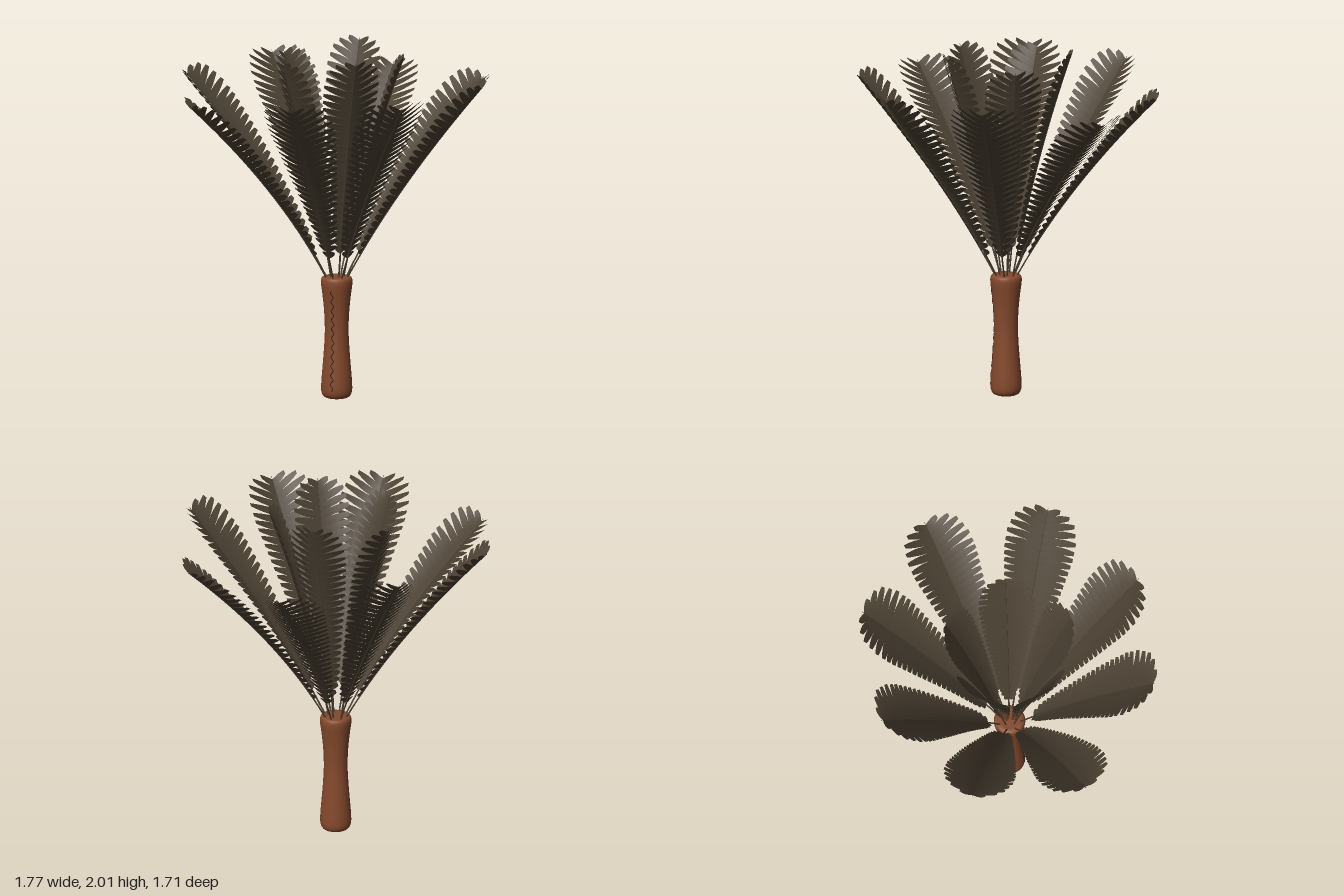
import * as THREE from 'three';

const brown = new THREE.MeshStandardMaterial({ color: 0x84492c });
brown.name = 'handle brown';
const vaneMat = new THREE.MeshStandardMaterial({ color: 0x4b4133, side: THREE.DoubleSide });
vaneMat.name = 'feather grey brown';
const darkMat = new THREE.MeshStandardMaterial({ color: 0x2c251d });
darkMat.name = 'dark quill';

// Axis of the handle, where all quills meet
const CENTRE = new THREE.Vector3(0.008, 0, 0.008);

// Handle outline as [radius, height]
const HANDLE = [[0.06, 0.002], [0.076, 0.012], [0.087, 0.04], [0.086, 0.1], [0.078, 0.2], [0.07, 0.31],
  [0.067, 0.4], [0.071, 0.5], [0.08, 0.59], [0.088, 0.65], [0.088, 0.68], [0.08, 0.695], [0.06, 0.7]];

// Half width of the vane by position along it (0 base, 1 tip)
const WIDTHS = [[0, 0.1], [0.03, 0.22], [0.08, 0.3], [0.3, 0.52], [0.55, 0.8], [0.75, 0.99], [0.84, 1],
  [0.92, 0.84], [0.97, 0.5], [1, 0.16]];

// Piecewise linear lookup in rows of [key, value]
function lookup(rows, key) {
  const i = Math.max(1, rows.findIndex(p => p[0] >= key));
  const [a, b] = [rows[i - 1], rows[i]];
  return THREE.MathUtils.lerp(a[1], b[1], (key - a[0]) / (b[0] - a[0]));
}
const handleRadius = y => lookup(HANDLE.map(([r, h]) => [h, r]), y);

// Barb sections as [reach, breadth, twist]
const BARB = [[0, 1.1, 0], [0.3, 1.06, 0.5], [0.6, 0.98, 1], [0.85, 0.72, 1], [1, 0.48, 0.8]];

// One feather: a curved quill with cupped, slightly twisted barbs on both sides
function makeFeather({ tip, start, mid, width, cup, barbs }, name) {
  const end = new THREE.Vector3(...tip);
  const out = end.clone().sub(CENTRE).setY(0).normalize();
  const side = new THREE.Vector3(-out.z, 0, out.x);
  const at = (radius, y) => CENTRE.clone().addScaledVector(out, radius).setY(y);
  const curve = new THREE.QuadraticBezierCurve3(at(start, 0.67), at(...mid), end);
  const pos = [], index = [];
  const base = 0.13, step = (0.985 - base) / barbs;
  for (let i = 0; i < barbs; i++) {
    const v = (i + 0.5) / barbs, t = base + step * (i + 0.5);
    const share = lookup(WIDTHS, v), w = share * width;
    const p = curve.getPointAt(t), tan = curve.getTangentAt(t);
    const normal = new THREE.Vector3().crossVectors(side, tan).normalize();
    if (normal.y < 0) normal.negate();
    const half = step * curve.getLength() * 0.5;
    const slant = w * (0.28 + 2 * Math.max(0, v - 0.8));
    for (const s of [-1, 1]) {
      const first = pos.length / 3;
      for (const [u, breadth, twist] of BARB) {
        for (const e of [-1, 1]) {
          const q = p.clone()
            .addScaledVector(side, s * u * w)
            .addScaledVector(tan, u * slant + e * half * breadth)
            .addScaledVector(normal, cup * Math.pow(u, 1.5) * share - e * 0.004 * twist);
          pos.push(q.x, q.y, q.z);
        }
      }
      for (let r = 0; r < BARB.length - 1; r++) {
        const a = first + r * 2;
        if (s > 0) index.push(a, a + 2, a + 1, a + 1, a + 2, a + 3);
        else index.push(a, a + 1, a + 2, a + 1, a + 3, a + 2);
      }
    }
  }
  const geo = new THREE.BufferGeometry();
  geo.setAttribute('position', new THREE.Float32BufferAttribute(pos, 3));
  geo.setIndex(index);
  geo.computeVertexNormals();
  const vane = new THREE.Mesh(geo, vaneMat);
  vane.name = 'vane';

  // Bare quill below the vane, continued as a fine rib along it
  const segs = 24, ring = 7;
  const quillGeo = new THREE.TubeGeometry(curve, segs, 0.005, ring - 1);
  const qp = quillGeo.attributes.position;
  for (let i = 0; i < qp.count; i++) {
    const t = Math.floor(i / ring) / segs, c = curve.getPointAt(t);
    const q = new THREE.Vector3().fromBufferAttribute(qp, i).sub(c).multiplyScalar(1 - 0.75 * t).add(c);
    qp.setXYZ(i, q.x, q.y, q.z);
  }
  const quill = new THREE.Mesh(quillGeo, vaneMat);
  quill.name = 'quill';

  const feather = new THREE.Group();
  feather.name = name;
  feather.add(vane, quill);
  return feather;
}

export function createModel() {
  const model = new THREE.Group();
  model.name = 'featherDuster';

  // Waisted handle with closed ends
  const outline = new THREE.SplineCurve(HANDLE.map(p => new THREE.Vector2(...p))).getPoints(40);
  const profile = [new THREE.Vector2(0, 0), ...outline, new THREE.Vector2(0, 0.7)];
  const handle = new THREE.Mesh(new THREE.LatheGeometry(profile, 36), brown);
  handle.name = 'handle';

  // Wavy stitched seam down the front of the handle
  const seamPoints = [];
  for (let i = 0; i <= 44; i++) {
    const y = 0.05 + i * 0.58 / 44;
    seamPoints.push(new THREE.Vector3(0.008 * Math.sin(i * Math.PI / 2), y, handleRadius(y)));
  }
  const seam = new THREE.Mesh(
    new THREE.TubeGeometry(new THREE.CatmullRomCurve3(seamPoints), 176, 0.0028, 5), darkMat);
  seam.name = 'seam';

  const grip = new THREE.Group();
  grip.name = 'grip';
  grip.position.copy(CENTRE);
  grip.add(handle, seam);
  model.add(grip);

  // Outer ring of eight wide feathers
  const outerTips = [[0.88, 1.85, 0], [0.61, 1.83, 0.6], [0.03, 1.82, 0.85], [-0.65, 1.75, 0.63],
    [-0.89, 1.82, 0.03], [-0.59, 1.84, -0.58], [0.04, 1.76, -0.86], [0.65, 1.76, -0.66]];
  outerTips.forEach((tip, i) => model.add(makeFeather(
    { tip, start: 0.05, mid: [0.35, 1.23], width: 0.2, cup: 0.065, barbs: 27 }, `outerFeather${i + 1}`)));

  // Inner ring of five upright feathers
  const innerTips = [[0.01, 2, -0.37], [0.37, 1.96, -0.11], [0.23, 2, 0.31], [-0.21, 1.97, 0.31], [-0.35, 1.95, -0.11]];
  innerTips.forEach((tip, i) => model.add(makeFeather(
    { tip, start: 0.035, mid: [0.16, 1.36], width: 0.16, cup: 0.04, barbs: 27 }, `innerFeather${i + 1}`)));

  return model;
}
